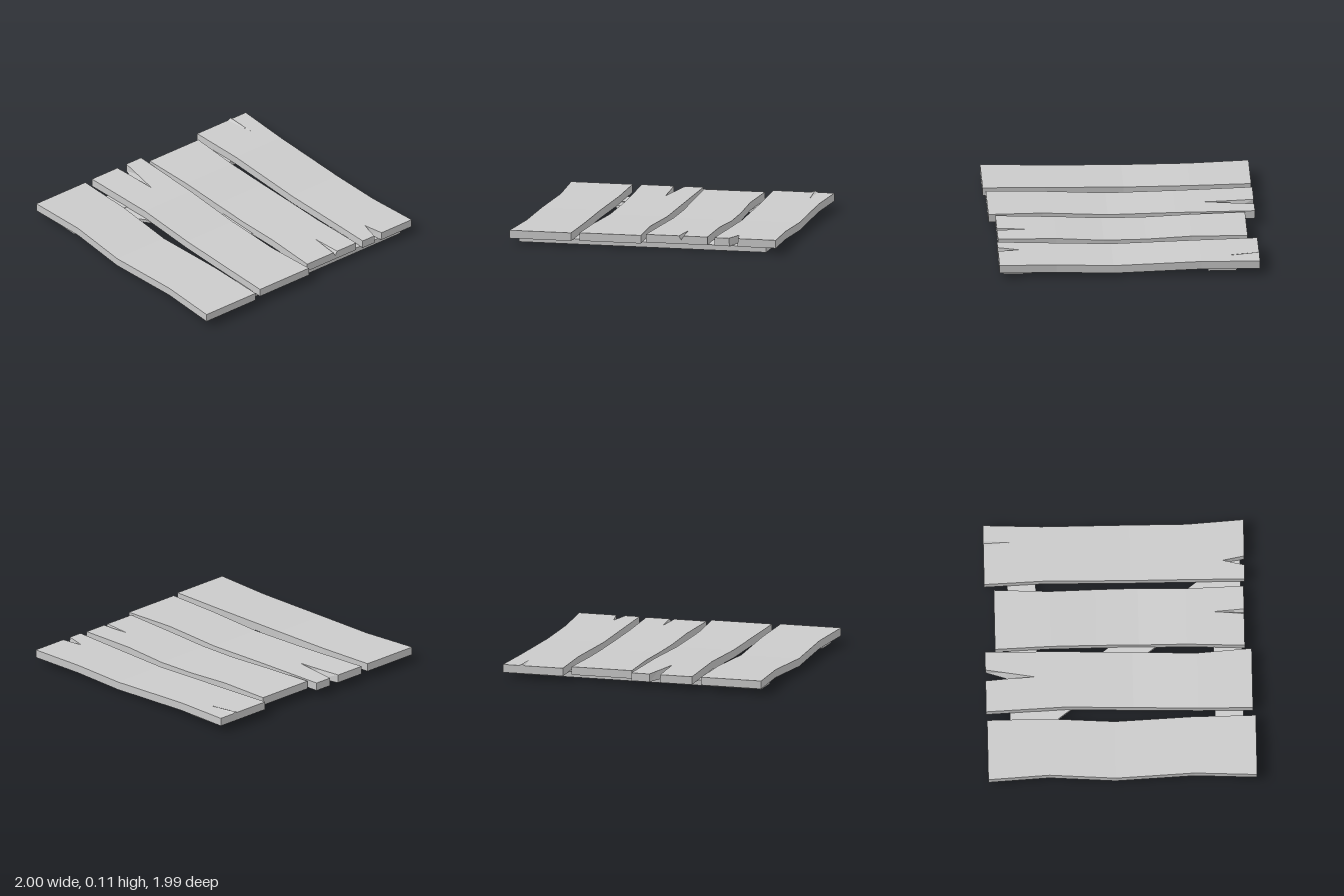
import * as THREE from 'three';

const material = new THREE.MeshStandardMaterial({ color: 0xcccccc, flatShading: true });

// Solid through rows { z, pts }, back to front; pts run clockwise seen from the front.
function loft(rows) {
  const pos = [];
  const tri = (a, b, c) => {
    const ab = b.clone().sub(a), ac = c.clone().sub(a);
    if (ab.cross(ac).length() > 1e-8) for (const p of [a, b, c]) pos.push(p.x, p.y, p.z);
  };
  const rings = rows.map(({ z, pts }) => pts.map(([x, y]) => new THREE.Vector3(x, y, z)));
  for (let r = 0; r + 1 < rings.length; r++) {
    const a = rings[r], b = rings[r + 1];
    a.forEach((p, i) => {
      const j = (i + 1) % a.length;
      tri(p, b[i], b[j]);
      tri(p, b[j], a[j]);
    });
  }
  const cap = (ring, front) => {
    const flat = ring.map((p) => new THREE.Vector2(p.x, p.y)).reverse();
    const pts = ring.slice().reverse();
    for (const [i, j, k] of THREE.ShapeUtils.triangulateShape(flat, [])) {
      if (front) tri(pts[i], pts[j], pts[k]);
      else tri(pts[k], pts[j], pts[i]);
    }
  };
  cap(rings[0], false);
  cap(rings[rings.length - 1], true);
  const geo = new THREE.BufferGeometry();
  geo.setAttribute('position', new THREE.Float32BufferAttribute(pos, 3));
  geo.computeVertexNormals();
  return geo;
}

function addMesh(parent, name, geo) {
  const mesh = new THREE.Mesh(geo, material);
  mesh.name = name;
  parent.add(mesh);
  return mesh;
}

const BOTTOM = 0.04, TOP = 0.1;

// Warped board. stations: [z, left x, right x, sag].
// split: a V through one end, rows of [z, top x0, top x1, bottom x0, bottom x1].
// crack: a shallow groove (or raised splinter if depth < 0) in the top face.
function makePlank({ name, stations, split, crack }) {
  const plank = new THREE.Group();
  plank.name = name;
  const at = (z) => {
    let i = 0;
    while (i < stations.length - 2 && z > stations[i + 1][0]) i++;
    const a = stations[i], b = stations[i + 1];
    const t = (z - a[0]) / (b[0] - a[0]);
    return [1, 2, 3].map((k) => a[k] + (b[k] - a[k]) * t);
  };
  const first = stations[0][0], last = stations[stations.length - 1][0];
  let z0 = first, z1 = last;

  // Two prongs beside the split
  if (split) {
    const atBack = split[0][0] < 0;
    if (atBack) z0 = split[split.length - 1][0];
    else z1 = split[0][0];
    for (const side of [0, 1]) {
      const rows = split.map(([z, t0, t1, b0, b1]) => {
        const [l, r, s] = at(z);
        const top = side ? [t1, r] : [l, t0];
        const bot = side ? [b1, r] : [l, b0];
        return { z, pts: [[top[0], TOP - s], [top[1], TOP - s], [bot[1], BOTTOM - s], [bot[0], BOTTOM - s]] };
      });
      addMesh(plank, side ? 'rightProng' : 'leftProng', loft(rows));
    }
  }

  // Main body
  const zs = [z0, ...stations.map((s) => s[0]).filter((z) => z > z0 && z < z1), z1];
  if (crack) zs.push(crack.tip);
  zs.sort((a, b) => a - b);
  const rows = zs.map((z) => {
    const [l, r, s] = at(z);
    const pts = [[l, TOP - s]];
    if (crack) {
      const t = Math.max(0, (z - crack.tip) / (crack.end - crack.tip));
      const x = crack.tipX + (crack.x - crack.tipX) * t, w = crack.width / 2 * t;
      pts.push([x - w, TOP - s], [x, TOP - s - crack.depth * t], [x + w, TOP - s]);
    }
    pts.push([r, TOP - s], [r, BOTTOM - s], [l, BOTTOM - s]);
    return { z, pts };
  });
  addMesh(plank, 'board', loft(rows));
  return plank;
}

const planks = [
  {
    name: 'plankOne',
    stations: [
      [-0.98, -1, -0.535, 0], [-0.53, -0.972, -0.53, 0.006], [-0.04, -1, -0.556, 0.02],
      [0.54, -0.977, -0.535, 0.005], [1, -1, -0.535, 0],
    ],
  },
  {
    name: 'plankTwo',
    stations: [
      [-0.99, -0.468, 0, 0], [-0.4, -0.44, -0.005, 0.006], [0.1, -0.45, -0.018, 0.02],
      [0.58, -0.468, -0.036, 0.006], [0.98, -0.475, -0.01, 0],
    ],
    split: [
      [-0.985, -0.225, -0.14, -0.22, -0.14],
      [-0.83, -0.212, -0.165, -0.19, -0.19],
      [-0.62, -0.2, -0.2, -0.2, -0.2],
    ],
  },
  {
    name: 'plankThree',
    stations: [
      [-0.91, 0.02, 0.484, 0], [-0.5, 0.037, 0.468, 0.005], [-0.16, 0.043, 0.48, 0.018],
      [0.15, 0.04, 0.484, 0.02], [0.5, 0.035, 0.47, 0.006], [0.93, 0.015, 0.48, 0],
    ],
    crack: { tip: 0.7, end: 0.93, tipX: 0.284, x: 0.282, width: 0.036, depth: 0.03 },
  },
  {
    name: 'plankFour',
    stations: [
      [-0.98, 0.53, 0.992, 0], [-0.55, 0.548, 0.975, 0.003], [0.1, 0.547, 0.982, 0.022],
      [0.52, 0.542, 0.976, 0.011], [0.94, 0.535, 1, 0],
    ],
    split: [
      [0.78, 0.686, 0.686, 0.686, 0.686],
      [0.94, 0.645, 0.715, 0.65, 0.71],
    ],
  },
];

export function createModel() {
  const model = new THREE.Group();
  model.name = 'plankPanel';
  for (const p of planks) model.add(makePlank(p));

  // Lifted splinter at the back of the last plank
  addMesh(model, 'splinter', loft([
    { z: -0.98, pts: [[0.82, 0.099], [0.845, 0.112], [0.87, 0.099], [0.845, 0.097]] },
    { z: -0.76, pts: [[0.859, 0.097], [0.86, 0.099], [0.861, 0.097], [0.86, 0.095]] },
  ]));

  // Cross battens underneath
  for (const [name, z0, z1] of [['backBatten', -0.81, -0.6], ['frontBatten', 0.7, 0.91]]) {
    const batten = addMesh(model, name, new THREE.BoxGeometry(1.87, 0.04, z1 - z0));
    batten.position.set(-0.015, 0.02, (z0 + z1) / 2);
  }

  // Diagonal brace, cut to meet both battens
  const section = (x0, x1) => [[x0, 0.036], [x1, 0.036], [x1, 0.012], [x0, 0.012]];
  addMesh(model, 'diagonalBrace', loft([
    { z: -0.6, pts: section(-0.62, -0.36) },
    { z: 0.7, pts: section(0.36, 0.63) },
  ]));
  return model;
}
